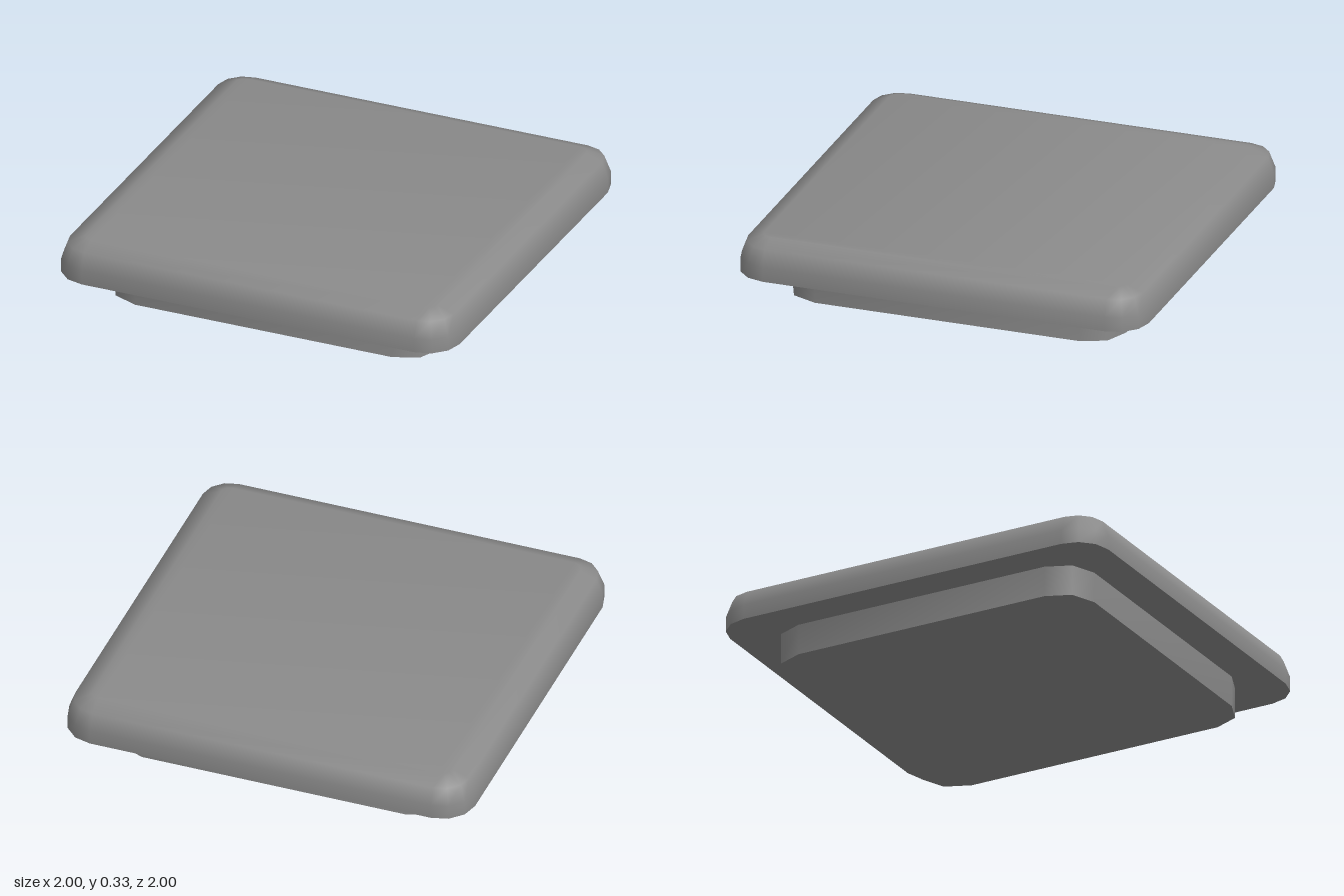
import * as THREE from 'three';
import { toCreasedNormals } from 'three/addons/utils/BufferGeometryUtils.js';

// Rounded square outline, counter-clockwise seen from above, starting at the back left
function outline(half, radius, segments, y) {
  const points = [];
  for (let corner = 0; corner < 4; corner++) {
    const middle = (corner + 0.5) * Math.PI / 2;
    const cx = Math.sign(Math.cos(middle)) * (half - radius);
    const cz = -Math.sign(Math.sin(middle)) * (half - radius);
    for (let i = 0; i <= segments; i++) {
      const a = (corner + i / segments) * Math.PI / 2;
      points.push([cx + radius * Math.cos(a), y, cz - radius * Math.sin(a)]);
    }
  }
  return points;
}

// Closed solid through stacked outlines; each level is [y, half width, corner radius]
function stackedSolid(levels, segments) {
  const rings = levels.map(([y, half, radius]) => outline(half, radius, segments, y));
  const n = rings[0].length;
  const last = rings.length - 1;
  const index = [];
  // Side walls
  for (let k = 0; k < last; k++) {
    for (let i = 0; i < n; i++) {
      const a = k * n + i, b = k * n + (i + 1) % n;
      index.push(a, b, b + n, a, b + n, a + n);
    }
  }
  // Flat bottom and top, in strips running from back to front
  const t = last * n;
  for (let i = 0; i < n / 2 - 1; i++) {
    const a = i, b = i + 1, c = n - 2 - i, d = n - 1 - i;
    index.push(a, c, b, a, d, c);
    index.push(t + a, t + b, t + c, t + a, t + c, t + d);
  }
  const geometry = new THREE.BufferGeometry();
  geometry.setAttribute('position', new THREE.Float32BufferAttribute(rings.flat(2), 3));
  geometry.setIndex(index);
  return toCreasedNormals(geometry, 1.0);
}

export function createModel() {
  const group = new THREE.Group();
  const material = new THREE.MeshStandardMaterial({ color: 0x8a8a8a });
  const add = (name, geometry) => {
    const mesh = new THREE.Mesh(geometry, material);
    mesh.name = name;
    group.add(mesh);
  };

  // Narrower plinth with straight sides
  add('base', stackedSolid([[0, 0.82, 0.17], [0.15, 0.82, 0.17]], 2));

  // Overhanging slab with a softened upper edge
  add('topSlab', stackedSolid([
    [0.15, 1, 0.16],
    [0.22, 1, 0.16],
    [0.3, 0.97, 0.13],
    [0.33, 0.89, 0.05],
  ], 3));

  return group;
}
